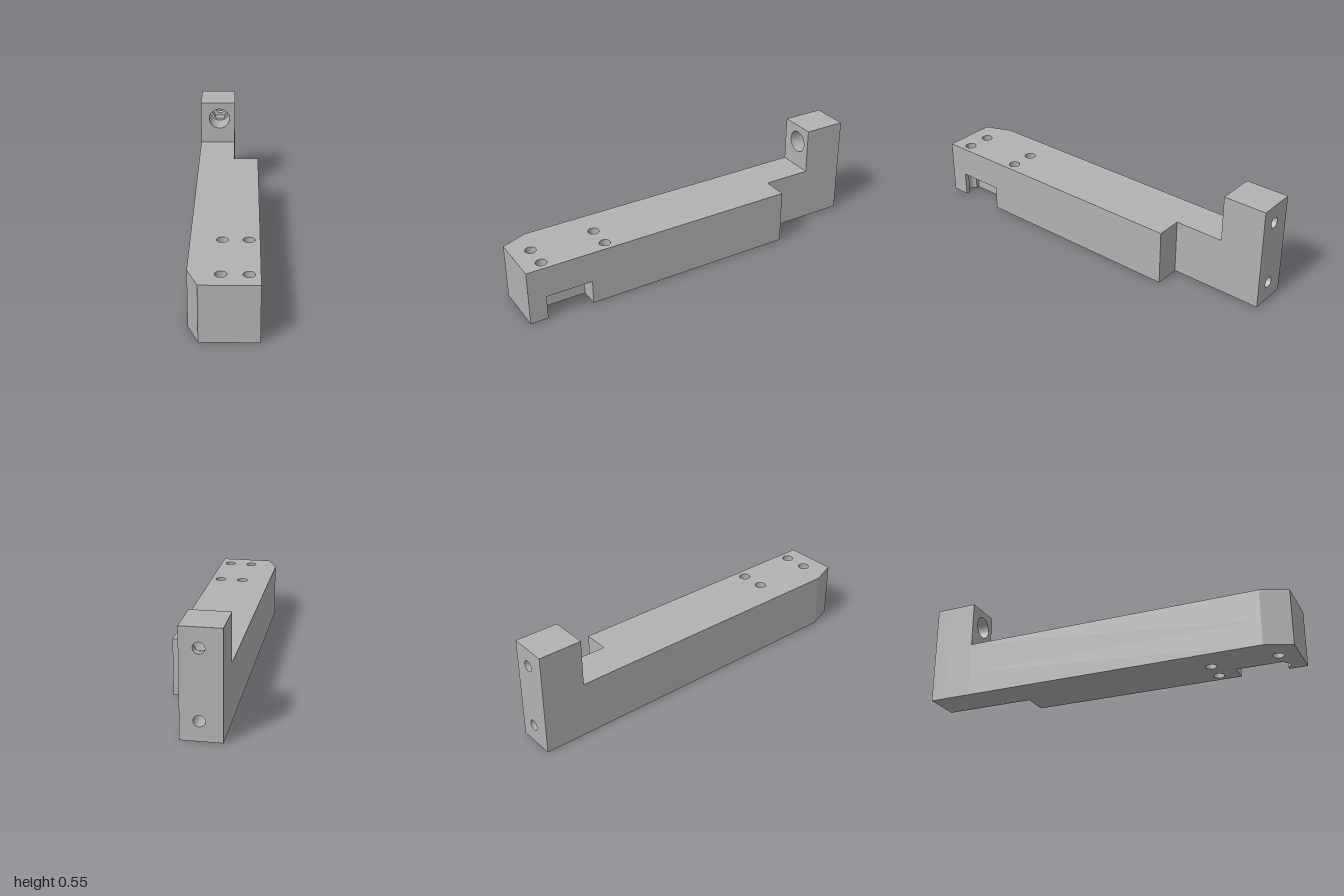
import * as THREE from 'three';
import { toCreasedNormals } from 'three/addons/utils/BufferGeometryUtils.js';

const SCREW_R = 0.029, NOTCH_Y = 0.13, BODY_Y = 0.297;
const POST_FRONT = -0.77, STEP_Z = -0.505;

function polygon(points) {
  return new THREE.Shape(points.map(([x, y]) => new THREE.Vector2(x, y)));
}

function circleHole(x, y, r) {
  const path = new THREE.Path();
  path.absarc(x, y, r, 0, Math.PI * 2, false);
  return path;
}

function hexHole(x, y, r) {
  return new THREE.Path(Array.from({ length: 6 }, (_, i) => {
    const a = (i * Math.PI) / 3;
    return new THREE.Vector2(x + r * Math.cos(a), y + r * Math.sin(a));
  }));
}

function extrude(shape, depth) {
  return toCreasedNormals(
    new THREE.ExtrudeGeometry(shape, { depth, bevelEnabled: false, curveSegments: 36 }), 0.3);
}

export function createModel() {
  const model = new THREE.Group();
  model.name = 'mountingArm';
  const grey = new THREE.MeshStandardMaterial({ color: 0xb2b2b2 });
  grey.name = 'grey plastic';

  const add = (name, geometry) => {
    const mesh = new THREE.Mesh(geometry, grey);
    mesh.name = name;
    model.add(mesh);
  };

  // Plan outline of the arm; shape y is -z. The notched one is cut on the left side.
  function armPlan(notched) {
    const shape = new THREE.Shape();
    shape.moveTo(-0.17, -POST_FRONT);
    shape.lineTo(-0.17, -0.86);
    shape.lineTo(-0.115, -1);
    shape.lineTo(0.17, -1);
    if (notched) {
      // the front left screw hole breaks out through the notch wall as a groove
      const a = Math.asin(0.008 / SCREW_R), w = SCREW_R * Math.cos(a);
      shape.lineTo(0.17, -0.905);
      shape.lineTo(0.116 + w, -0.905);
      shape.absarc(0.116, -0.897, SCREW_R, -a, -Math.PI + a, true);
      shape.lineTo(0.07, -0.905);
      shape.lineTo(0.07, -0.655);
      shape.lineTo(0.17, -0.655);
    }
    shape.lineTo(0.17, -STEP_Z);
    shape.lineTo(0.032, -STEP_Z);
    shape.lineTo(0.032, -POST_FRONT);
    shape.closePath();

    // Vertical screw holes
    for (const x of [-0.013, 0.116]) {
      for (const z of [0.55, 0.897]) {
        if (notched && x > 0 && z > 0.8) continue;
        shape.holes.push(circleHole(x, -z, SCREW_R));
      }
    }
    return shape;
  }

  const lower = extrude(armPlan(true), NOTCH_Y);
  lower.rotateX(-Math.PI / 2);
  add('armLower', lower);

  const upper = extrude(armPlan(false), BODY_Y - NOTCH_Y);
  upper.rotateX(-Math.PI / 2);
  upper.translate(0, NOTCH_Y, 0);
  add('armUpper', upper);

  // Upright post: through hole, hexagonal nut seat and round bore, from back to front
  const cx = -0.06, cy = 0.447;
  const slices = [
    ['postBack', -1, -0.96, circleHole(cx, cy, 0.028)],
    ['postNutSeat', -0.96, -0.91, hexHole(cx, cy, 0.052)],
    ['postBore', -0.91, POST_FRONT, circleHole(cx, cy, 0.06)],
  ];
  for (const [name, z0, z1, hole] of slices) {
    const shape = polygon([[-0.17, 0], [0.032, 0], [0.032, 0.545], [-0.17, 0.545]]);
    // the lower blind hole runs through the post and stops at the arm
    shape.holes.push(hole, circleHole(cx, 0.1, 0.028));
    const geometry = extrude(shape, z1 - z0);
    geometry.translate(0, 0, z0);
    add(name, geometry);
  }

  return model;
}
